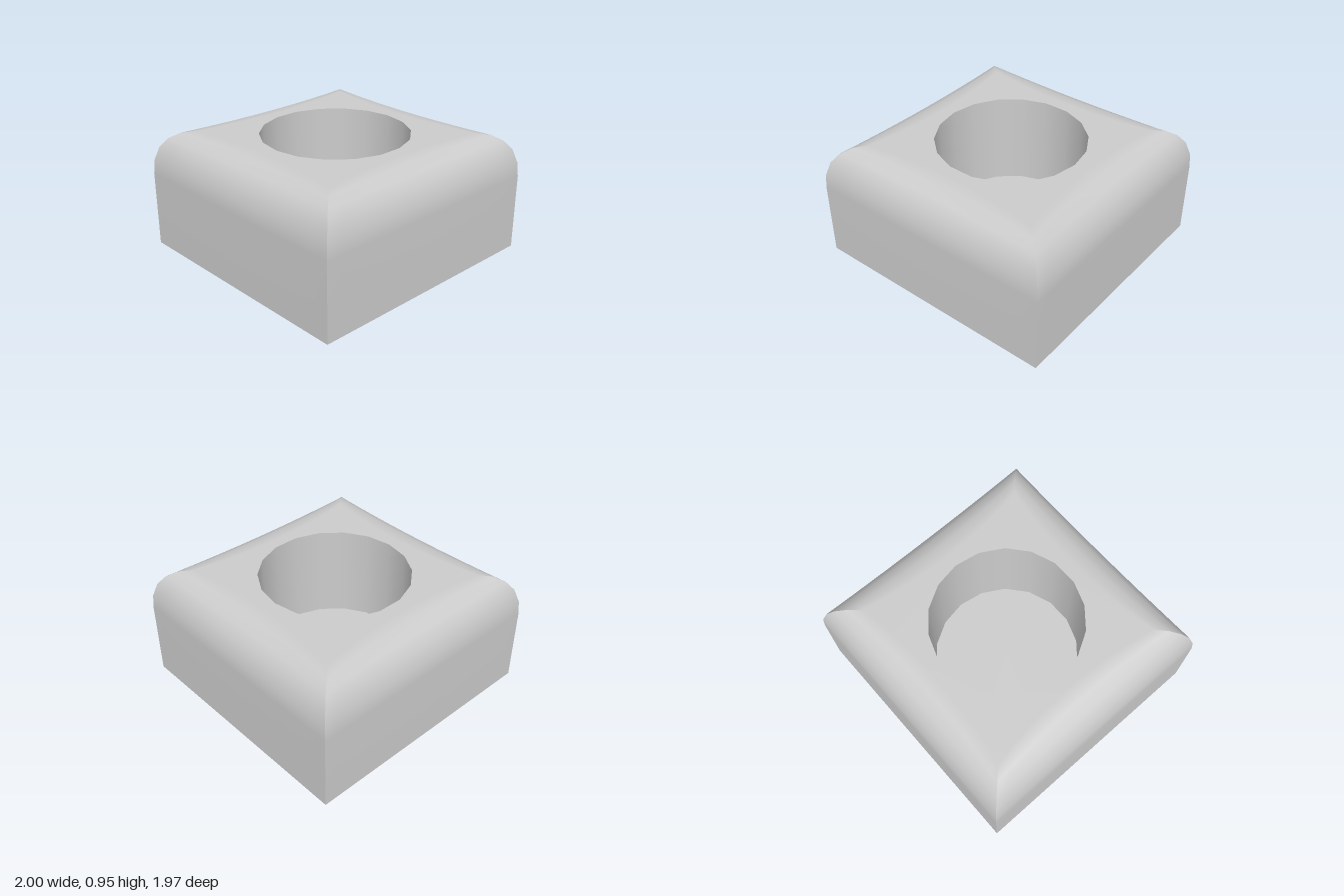
import * as THREE from 'three';

const HALF_DEPTH = 0.985, HOLE_RADIUS = 0.575, HOLE_SIDES = 18, FLOOR_Y = 0.2, TOP_Y = 0.95;
const SEGMENTS = 16; // along each side
const CORNER_INSET = 0.25, MIDDLE_INSET = 0.33;

// Wall and rounded shoulder: [share of the inset, height]
const PROFILE = [[0, 0], [0, 0.6], [0.035, 0.71], [0.17, 0.82], [0.38, 0.89], [0.66, 0.935], [1, TOP_Y]];

// Point on the +z side; the shoulder is wider at the middle than at the corners
function sidePoint(u, [share, y]) {
  const inset = MIDDLE_INSET + (CORNER_INSET - MIDDLE_INSET) * u * u;
  return new THREE.Vector3(u * (1 - CORNER_INSET * share), y, 1 - inset * share);
}

function sideGeometry() {
  const positions = [], index = [], row = SEGMENTS + 1;
  PROFILE.forEach((level, k) => {
    for (let i = 0; i <= SEGMENTS; i++) {
      positions.push(...sidePoint((2 * i) / SEGMENTS - 1, level).toArray());
      if (k > 0 && i > 0) {
        const d = k * row + i, b = d - row;
        index.push(b - 1, b, d, b - 1, d, d - 1);
      }
    }
  });
  const geometry = new THREE.BufferGeometry();
  geometry.setAttribute('position', new THREE.Float32BufferAttribute(positions, 3));
  geometry.setIndex(index);
  geometry.computeVertexNormals();
  // The shoulder runs smoothly into the flat top
  const normal = geometry.attributes.normal;
  for (let i = normal.count - row; i < normal.count; i++) normal.setXYZ(i, 0, 1, 0);
  return geometry;
}

// Flat top between the four shoulders, with the round opening
function topGeometry() {
  const outline = [], up = new THREE.Vector3(0, 1, 0);
  for (let s = 0; s < 4; s++) {
    for (let i = 0; i < SEGMENTS; i++) {
      const p = sidePoint((2 * i) / SEGMENTS - 1, PROFILE[PROFILE.length - 1]);
      p.applyAxisAngle(up, (s * Math.PI) / 2);
      outline.push(new THREE.Vector2(p.x, -p.z * HALF_DEPTH));
    }
  }
  const hole = [];
  for (let i = 0; i < HOLE_SIDES; i++) {
    const a = (-i / HOLE_SIDES) * Math.PI * 2;
    hole.push(new THREE.Vector2(Math.cos(a), Math.sin(a)).multiplyScalar(HOLE_RADIUS));
  }
  const shape = new THREE.Shape(outline);
  shape.holes.push(new THREE.Path(hole));
  return new THREE.ShapeGeometry(shape).rotateX(-Math.PI / 2).translate(0, TOP_Y, 0);
}

export function createModel() {
  const group = new THREE.Group();
  group.name = 'block';
  const material = new THREE.MeshStandardMaterial({ color: 0xcccccc });
  const add = (name, geometry, mat = material) => {
    const mesh = new THREE.Mesh(geometry, mat);
    mesh.name = name;
    group.add(mesh);
  };

  // Four walls with rounded shoulders, mitred at the corners
  ['frontSide', 'leftSide', 'backSide', 'rightSide'].forEach((name, s) => {
    add(name, sideGeometry().rotateY((s * Math.PI) / 2).scale(1, 1, HALF_DEPTH));
  });
  add('top', topGeometry());
  add('bottom', new THREE.PlaneGeometry(2, 2 * HALF_DEPTH).rotateX(Math.PI / 2));

  // Round recess, seen from inside; a quarter turn puts its corners on the x axis
  const depth = TOP_Y - FLOOR_Y;
  const wall = new THREE.CylinderGeometry(HOLE_RADIUS, HOLE_RADIUS, depth, HOLE_SIDES, 1, true);
  const inside = material.clone();
  inside.side = THREE.DoubleSide;
  add('recessWall', wall.rotateY(Math.PI / 2).translate(0, FLOOR_Y + depth / 2, 0), inside);
  add('recessFloor', new THREE.CircleGeometry(HOLE_RADIUS, HOLE_SIDES).rotateX(-Math.PI / 2).translate(0, FLOOR_Y, 0));
  return group;
}
